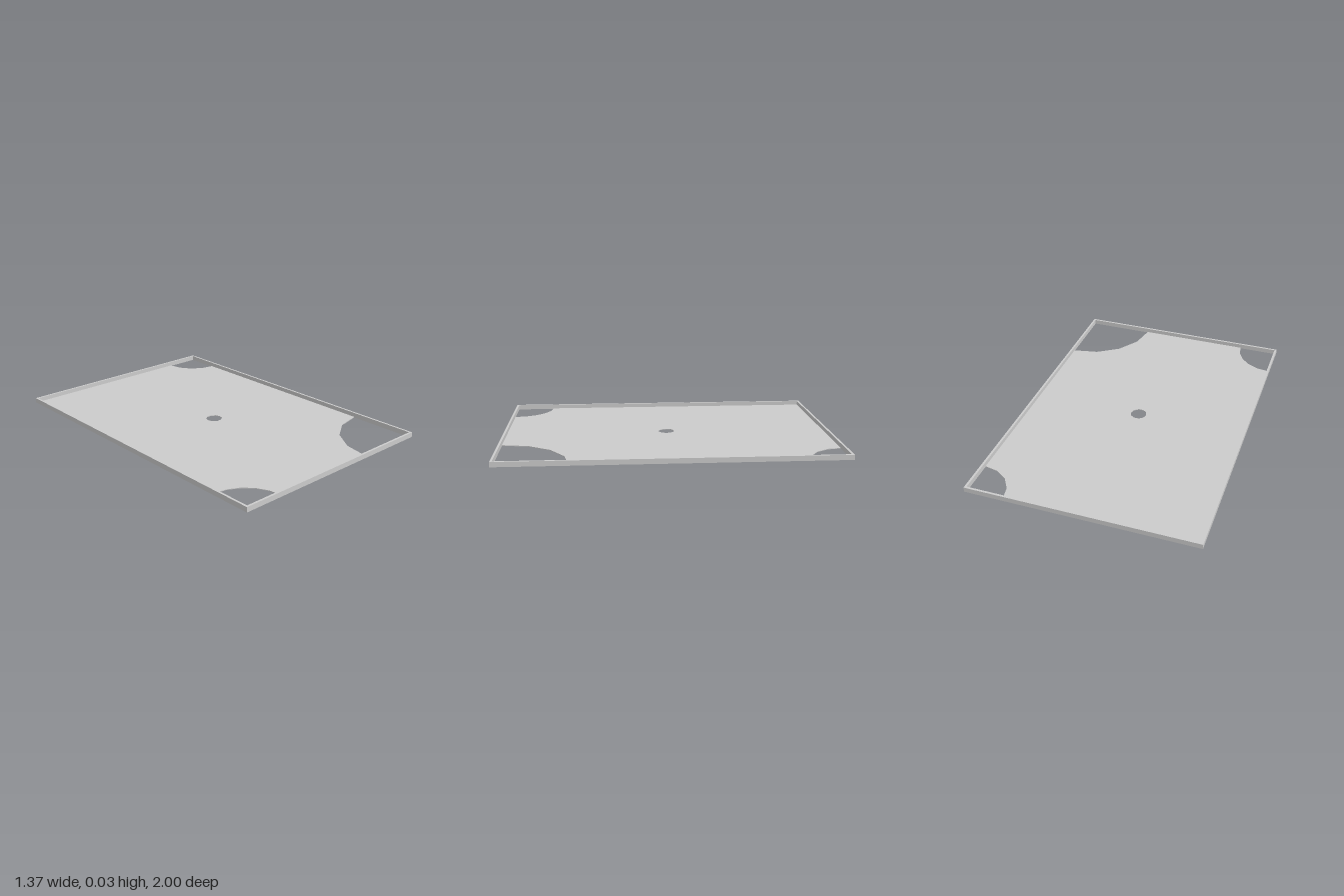
import * as THREE from 'three';

const HALF_X = 0.685, HALF_Z = 1, RIM = 0.013, HEIGHT = 0.03, PLATE = 0.004;
const IN_X = HALF_X - RIM, IN_Z = HALF_Z - RIM;

// Points along an arc in plan (x, z)
function arc(cx, cz, radius, from, sweep, sides) {
  return Array.from({ length: sides + 1 }, (_, i) => {
    const a = from + (sweep * i) / sides;
    return new THREE.Vector2(cx + radius * Math.cos(a), cz + radius * Math.sin(a));
  });
}

function rectangle(x, z) {
  return [[-x, -z], [x, -z], [x, z], [-x, z]].map(([a, b]) => new THREE.Vector2(a, b));
}

// Extrude a plan outline with one hole upward from y = 0
function slab(name, outline, hole, height) {
  const shape = new THREE.Shape(outline);
  shape.holes.push(new THREE.Path(hole));
  const geometry = new THREE.ExtrudeGeometry(shape, { depth: height, bevelEnabled: false });
  geometry.rotateX(Math.PI / 2).translate(0, height, 0);
  const material = new THREE.MeshStandardMaterial({ color: 0xcccccc, flatShading: true });
  const mesh = new THREE.Mesh(geometry, material);
  mesh.name = name;
  return mesh;
}

export function createModel() {
  const group = new THREE.Group();
  group.name = 'tray';
  const q = Math.PI / 2;

  // Raised rectangular rim
  group.add(slab('rim', rectangle(HALF_X, HALF_Z), rectangle(IN_X, IN_Z), HEIGHT));

  // Thin floor with three rounded corner cutouts and a centre hole
  const outline = [
    new THREE.Vector2(-IN_X, -IN_Z),
    ...arc(IN_X, -IN_Z, 0.218, 2 * q, -q, 4),
    ...arc(IN_X, IN_Z, 0.41, -q, -q, 4),
    ...arc(-IN_X, IN_Z, 0.24, 0, -q, 5),
  ];
  group.add(slab('floor', outline, arc(0, 0, 0.05, 0, 4 * q, 10).slice(0, -1), PLATE));
  return group;
}
